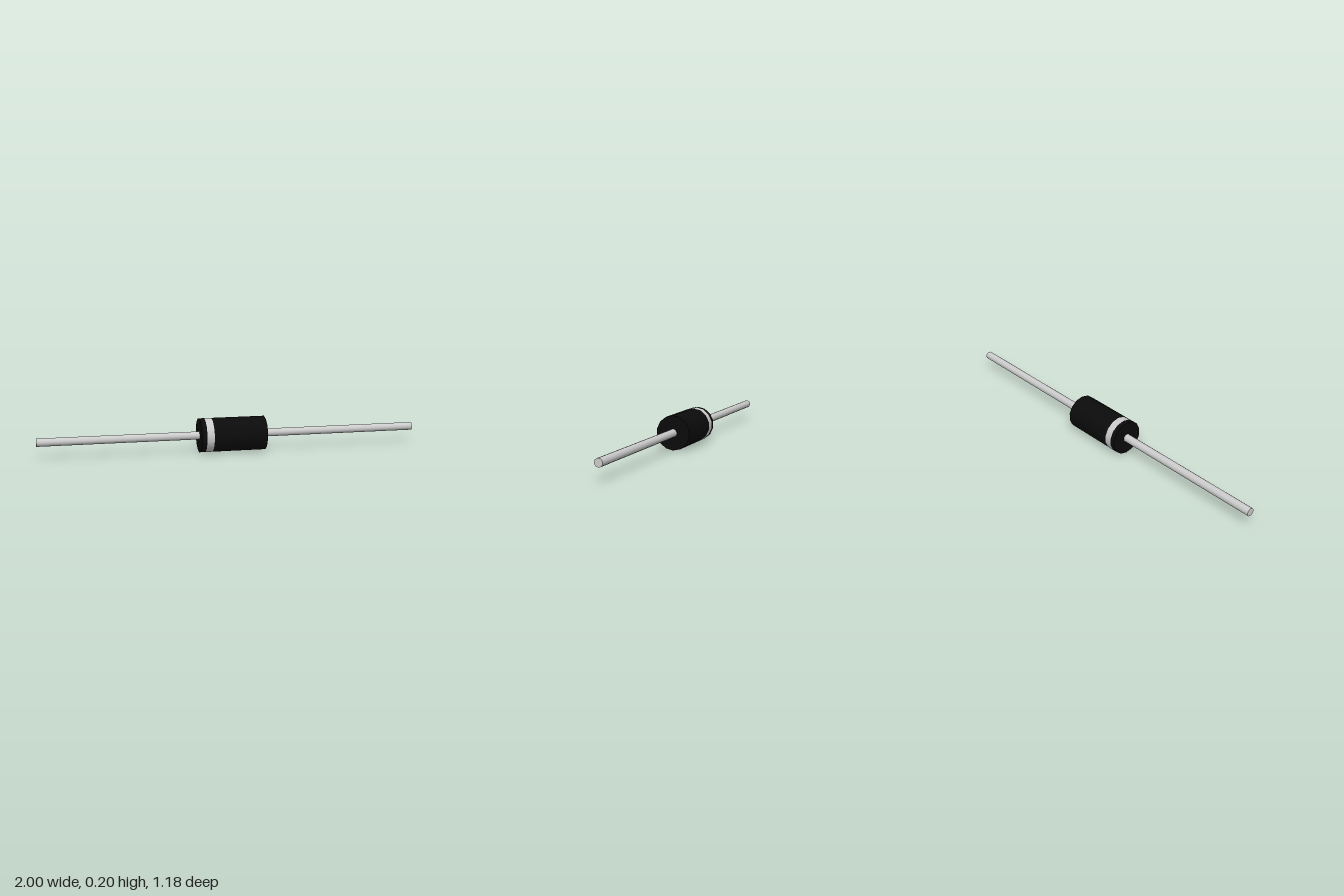
import * as THREE from 'three';

const SIDES = 14;
const BODY_RADIUS = 0.102;
const BODY_HALF = 0.197;
const LEAD_RADIUS = 0.024;
const LEAD_END = 1.141;

const dark = new THREE.MeshStandardMaterial({ color: 0x0b0b0b });
const grey = new THREE.MeshStandardMaterial({ color: 0xcccccc });

// Cylinder lying along x between two stations
function rod(name, radius, from, to, material, open = false) {
  const geometry = new THREE.CylinderGeometry(radius, radius, to - from, SIDES, 1, open, Math.PI / 2);
  geometry.rotateZ(-Math.PI / 2);
  geometry.translate((from + to) / 2, 0, 0);
  const mesh = new THREE.Mesh(geometry, material);
  mesh.name = name;
  return mesh;
}

export function createModel() {
  const model = new THREE.Group();
  model.name = 'diode';

  // Body in three flush sections, with the light polarity band near one end
  const bandStart = -BODY_HALF + 0.03;
  const bandEnd = -BODY_HALF + 0.073;
  model.add(
    rod('bodyEnd', BODY_RADIUS, -BODY_HALF, bandStart, dark),
    rod('polarityBand', BODY_RADIUS, bandStart, bandEnd, grey, true),
    rod('body', BODY_RADIUS, bandEnd, BODY_HALF, dark)
  );

  // Wire leads, starting just inside the body ends
  const inner = BODY_HALF - 0.01;
  model.add(
    rod('rightLead', LEAD_RADIUS, -LEAD_END, -inner, grey),
    rod('leftLead', LEAD_RADIUS, inner, LEAD_END, grey)
  );

  // The whole part rests on the ground, turned 30 degrees
  model.rotation.y = Math.PI / 6;
  model.position.y = BODY_RADIUS;

  const root = new THREE.Group();
  root.add(model);
  return root;
}
